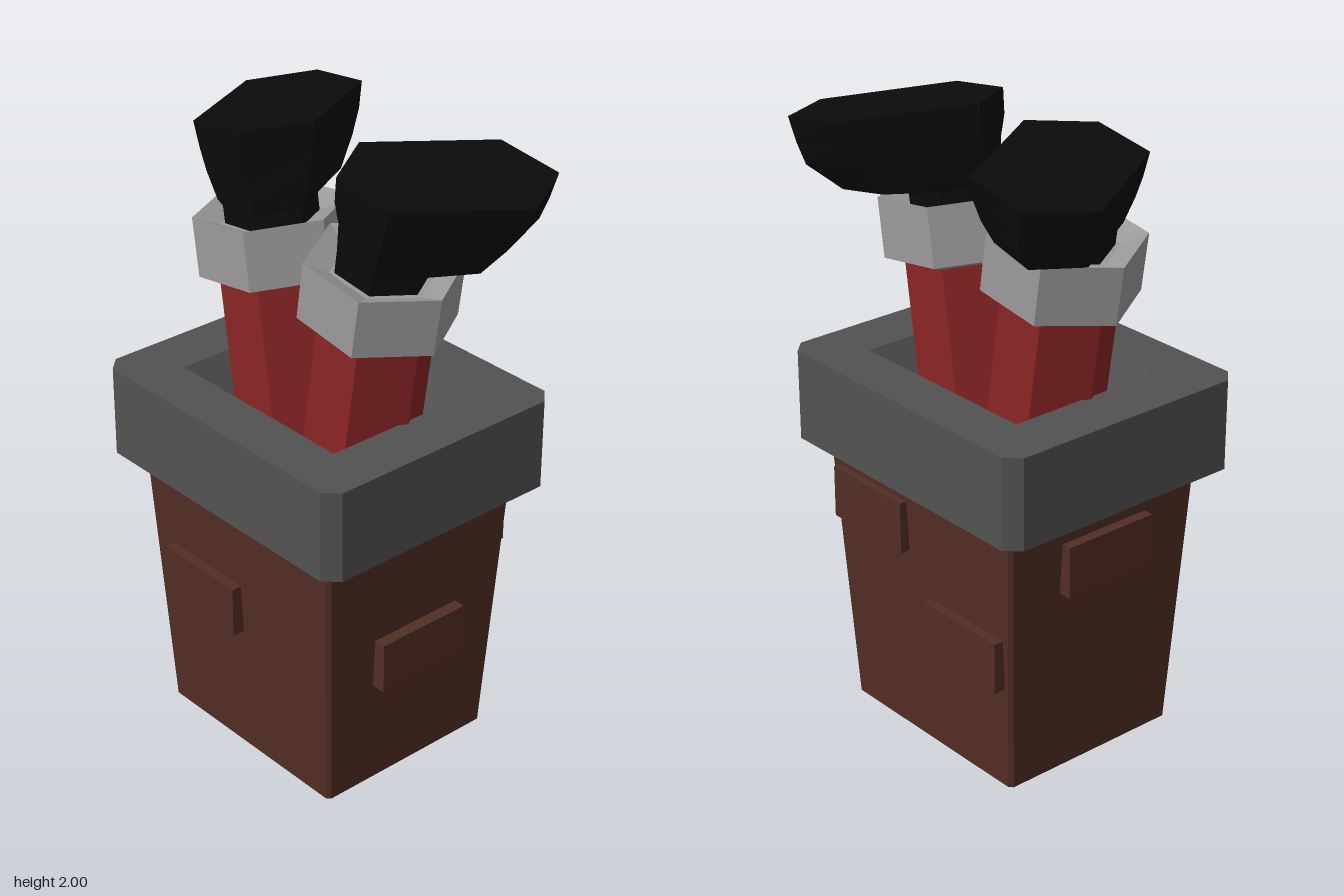
import * as THREE from 'three';

const mat = (name, color, extra = {}) => {
  const m = new THREE.MeshStandardMaterial({ color, ...extra });
  m.name = name;
  return m;
};

// Flat-shaded skin over rings of points (each counter-clockwise from above, bottom to top)
function loft(rings, capTop = true, capBottom = false) {
  const pos = [];
  const tri = (...p) => p.forEach((v) => pos.push(v.x, v.y, v.z));
  const n = rings[0].length;
  for (let r = 0; r < rings.length - 1; r++) {
    const a = rings[r], b = rings[r + 1];
    for (let i = 0; i < n; i++) {
      const j = (i + 1) % n;
      tri(a[i], a[j], b[j]);
      tri(a[i], b[j], b[i]);
    }
  }
  const first = rings[0], last = rings[rings.length - 1];
  for (let i = 1; i < n - 1; i++) {
    if (capTop) tri(last[0], last[i], last[i + 1]);
    if (capBottom) tri(first[0], first[i + 1], first[i]);
  }
  const g = new THREE.BufferGeometry();
  g.setAttribute('position', new THREE.Float32BufferAttribute(pos, 3));
  g.computeVertexNormals();
  return g;
}

// Rectangle with cut corners
const rect = (y, w, d, c) => [
  [w, d - c], [w, -d + c], [w - c, -d], [-w + c, -d],
  [-w, -d + c], [-w, d - c], [-w + c, d], [w - c, d],
].map(([x, z]) => new THREE.Vector3(x, y, z));

// Hexagon with corners on the x axis
const hex = (y, r) => Array.from({ length: 6 }, (_, i) => {
  const t = (i * Math.PI) / 3;
  return new THREE.Vector3(r * Math.cos(t), y, -r * Math.sin(t));
});

// Six-sided boot section, pointing backwards and outwards
const bootRing = ([y, heel, sideHeel, sideToe, toe, w]) => [
  [heel, 0], [sideHeel, w], [sideToe, w], [toe, 0], [sideToe, -w], [sideHeel, -w],
].map(([t, s]) => new THREE.Vector3(0.485 * t + 0.875 * s, y, -0.875 * t + 0.485 * s));

export function createModel() {
  const group = new THREE.Group();
  const brick = mat('brick brown', 0x522e24);
  const brickWall = mat('brick wall brown', 0x522e24, { side: THREE.DoubleSide });
  const stone = mat('stone grey', 0x525252);
  const red = mat('trouser red', 0x8a2424);
  const white = mat('cuff white', 0x9c9999);
  const black = mat('boot black', 0x0b0b0b);

  const add = (name, geometry, material, parent = group) => {
    const mesh = new THREE.Mesh(geometry, material);
    mesh.name = name;
    parent.add(mesh);
    return mesh;
  };

  // Tapered chimney, open underneath
  add('chimneyWall', loft([rect(0, 0.38, 0.325, 0.012), rect(0.87, 0.43, 0.37, 0.012)], false), brickWall);

  // Stone rim with a sunken opening
  add('chimneyRim', loft([
    rect(0.865, 0.42, 0.36, 0.02),
    rect(0.91, 0.525, 0.445, 0.045),
    rect(1.205, 0.525, 0.445, 0.045),
    rect(1.205, 0.345, 0.275, 0.001),
    rect(0.97, 0.2, 0.16, 0.001),
  ], true, true), stone);

  // Raised bricks: centre x, y, z and whether they sit on a side wall
  [
    [-0.155, 0.535, 0.36, false],
    [0.22, 0.745, -0.362, false],
    [-0.21, 0.445, -0.355, false],
    [0.42, 0.455, 0, true],
    [-0.43, 0.725, 0, true],
  ].forEach(([x, y, z, side]) => {
    const g = side ? new THREE.BoxGeometry(0.06, 0.17, 0.33) : new THREE.BoxGeometry(0.33, 0.17, 0.06);
    add('raisedBrick', g, brick).position.set(x, y, z);
  });

  // Two upturned legs, leaning outwards
  const lean = 0.149, c = Math.cos(lean), s = Math.sin(lean);
  for (const side of [1, -1]) {
    const leg = new THREE.Group();
    leg.name = side > 0 ? 'leftLeg' : 'rightLeg';
    group.add(leg);
    const place = (rings) => rings.map((ring) => {
      const out = ring.map((p) => new THREE.Vector3(
        side * (0.178 + p.x * c + p.y * s), 1.2 - p.x * s + p.y * c, p.z));
      return side > 0 ? out : out.reverse();
    });
    add('trouserLeg', loft(place([hex(-0.2, 0.179), hex(0.4, 0.179)]), true, true), red, leg);
    add('cuff', loft(place([
      hex(0.295, 0.19), hex(0.312, 0.24), hex(0.5, 0.24), hex(0.465, 0.16),
    ]), true, true), white, leg);
    add('boot', loft(place([
      [0.42, -0.145, -0.07, 0.07, 0.145, 0.125],
      [0.52, -0.145, -0.07, 0.07, 0.145, 0.125],
      [0.54, -0.145, -0.07, 0.24, 0.34, 0.14],
      [0.63, -0.15, -0.07, 0.3, 0.44, 0.165],
      [0.7, -0.168, -0.065, 0.335, 0.46, 0.18],
      [0.78, -0.172, -0.065, 0.355, 0.475, 0.19],
    ].map(bootRing)), true, true), black, leg);
  }
  return group;
}
